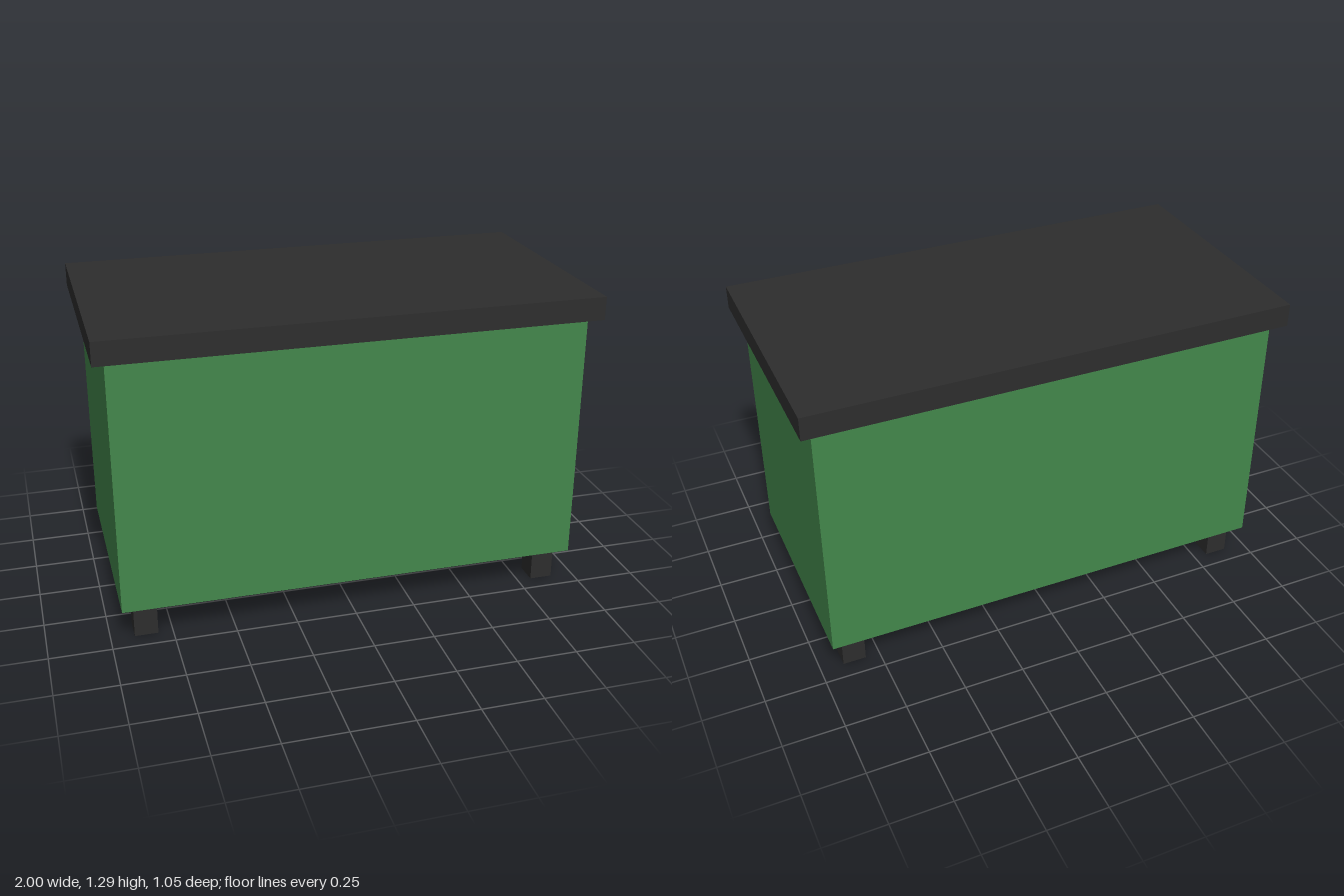
import * as THREE from 'three';

export function createModel() {
  const model = new THREE.Group();
  model.name = 'storageChest';

  const green = new THREE.MeshStandardMaterial({ color: 0x43874b });
  green.name = 'green paint';
  const black = new THREE.MeshStandardMaterial({ color: 0x2d2d2d });
  black.name = 'charcoal';

  // Box standing on height y
  function addBox(name, material, [w, h, d], x, y, z) {
    const mesh = new THREE.Mesh(new THREE.BoxGeometry(w, h, d), material);
    mesh.name = name;
    mesh.position.set(x, y + h / 2, z);
    model.add(mesh);
  }

  const legHeight = 0.143;
  const bodyHeight = 1.048;

  // Body and overhanging lid
  addBox('body', green, [1.905, bodyHeight, 0.952], 0, legHeight, 0);
  addBox('lid', black, [2, 0.095, 1.048], 0, legHeight + bodyHeight, 0);

  // Four square legs, inset from the corners
  for (const [side, sx] of [['Left', 1], ['Right', -1]]) {
    for (const [end, sz] of [['front', 1], ['back', -1]]) {
      addBox(`${end}${side}Leg`, black, [0.095, legHeight, 0.095], sx * 0.857, 0, sz * 0.381);
    }
  }

  return model;
}
